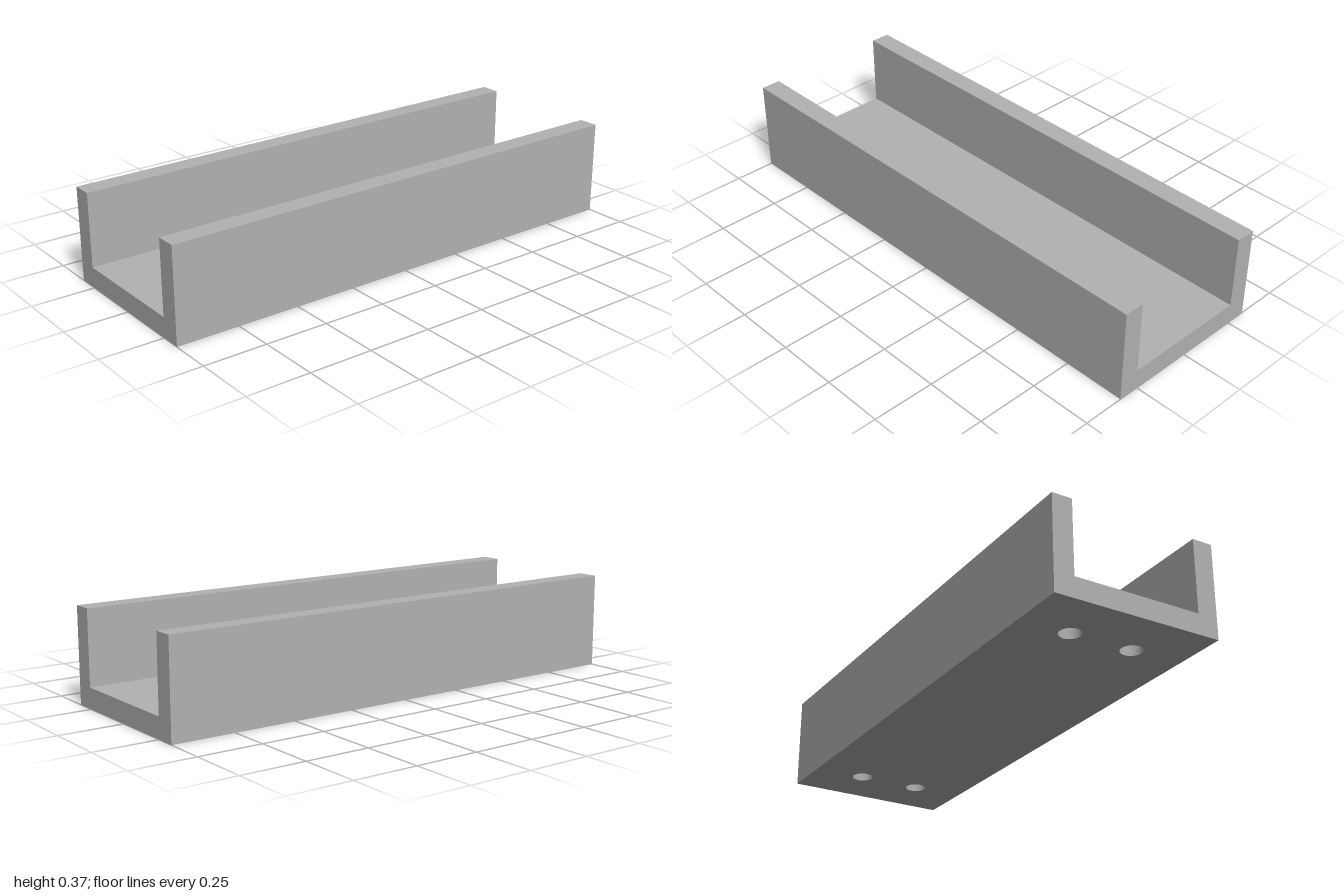
import * as THREE from 'three';

const HALF_LENGTH = 1, HALF_WIDTH = 0.333, INNER = 0.253;
const HEIGHT = 0.373, FLOOR = 0.081;
const HOLE_R = 0.042, HOLE_DEPTH = 0.06, HOLE_X = 0.785, HOLE_Z = 0.127;

// Removes the triangles lying on y = 0, so the drilled underside can replace them
function withoutBottom(geometry) {
  const p = geometry.attributes.position;
  const n = geometry.attributes.normal;
  const positions = [], normals = [];
  for (let i = 0; i < p.count; i += 3) {
    if ([0, 1, 2].every((k) => Math.abs(p.getY(i + k)) < 1e-5)) continue;
    for (let k = i; k < i + 3; k++) {
      positions.push(p.getX(k), p.getY(k), p.getZ(k));
      normals.push(n.getX(k), n.getY(k), n.getZ(k));
    }
  }
  const out = new THREE.BufferGeometry();
  out.setAttribute('position', new THREE.Float32BufferAttribute(positions, 3));
  out.setAttribute('normal', new THREE.Float32BufferAttribute(normals, 3));
  return out;
}

export function createModel() {
  const group = new THREE.Group();
  group.name = 'channel';
  const grey = new THREE.MeshStandardMaterial({ color: 0xb2b2b2 });
  grey.name = 'grey';

  const add = (name, geometry, x = 0, y = 0, z = 0) => {
    const mesh = new THREE.Mesh(geometry, grey);
    mesh.name = name;
    mesh.position.set(x, y, z);
    group.add(mesh);
  };
  const outline = (points) => new THREE.Shape(points.map(([x, y]) => new THREE.Vector2(x, y)));

  // U-shaped section run along x
  const section = outline([
    [-HALF_WIDTH, 0], [HALF_WIDTH, 0], [HALF_WIDTH, HEIGHT], [INNER, HEIGHT],
    [INNER, FLOOR], [-INNER, FLOOR], [-INNER, HEIGHT], [-HALF_WIDTH, HEIGHT],
  ]);
  const body = new THREE.ExtrudeGeometry(section, { depth: 2 * HALF_LENGTH, bevelEnabled: false });
  body.translate(0, 0, -HALF_LENGTH).rotateY(Math.PI / 2);
  add('channelBody', withoutBottom(body));

  // Underside with four blind screw holes
  const underside = outline([
    [-HALF_LENGTH, -HALF_WIDTH], [HALF_LENGTH, -HALF_WIDTH],
    [HALF_LENGTH, HALF_WIDTH], [-HALF_LENGTH, HALF_WIDTH],
  ]);
  const wall = new THREE.LatheGeometry(
    [new THREE.Vector2(HOLE_R, HOLE_DEPTH), new THREE.Vector2(HOLE_R, 0)], 32);
  const end = new THREE.CircleGeometry(HOLE_R, 32).rotateX(Math.PI / 2);
  for (const x of [-HOLE_X, HOLE_X]) {
    for (const z of [-HOLE_Z, HOLE_Z]) {
      underside.holes.push(new THREE.Path().absarc(x, z, HOLE_R, 0, 2 * Math.PI, true));
      add('holeWall', wall, x, 0, z);
      add('holeEnd', end, x, HOLE_DEPTH, z);
    }
  }
  add('underside', new THREE.ShapeGeometry(underside, 16).rotateX(Math.PI / 2));

  return group;
}
